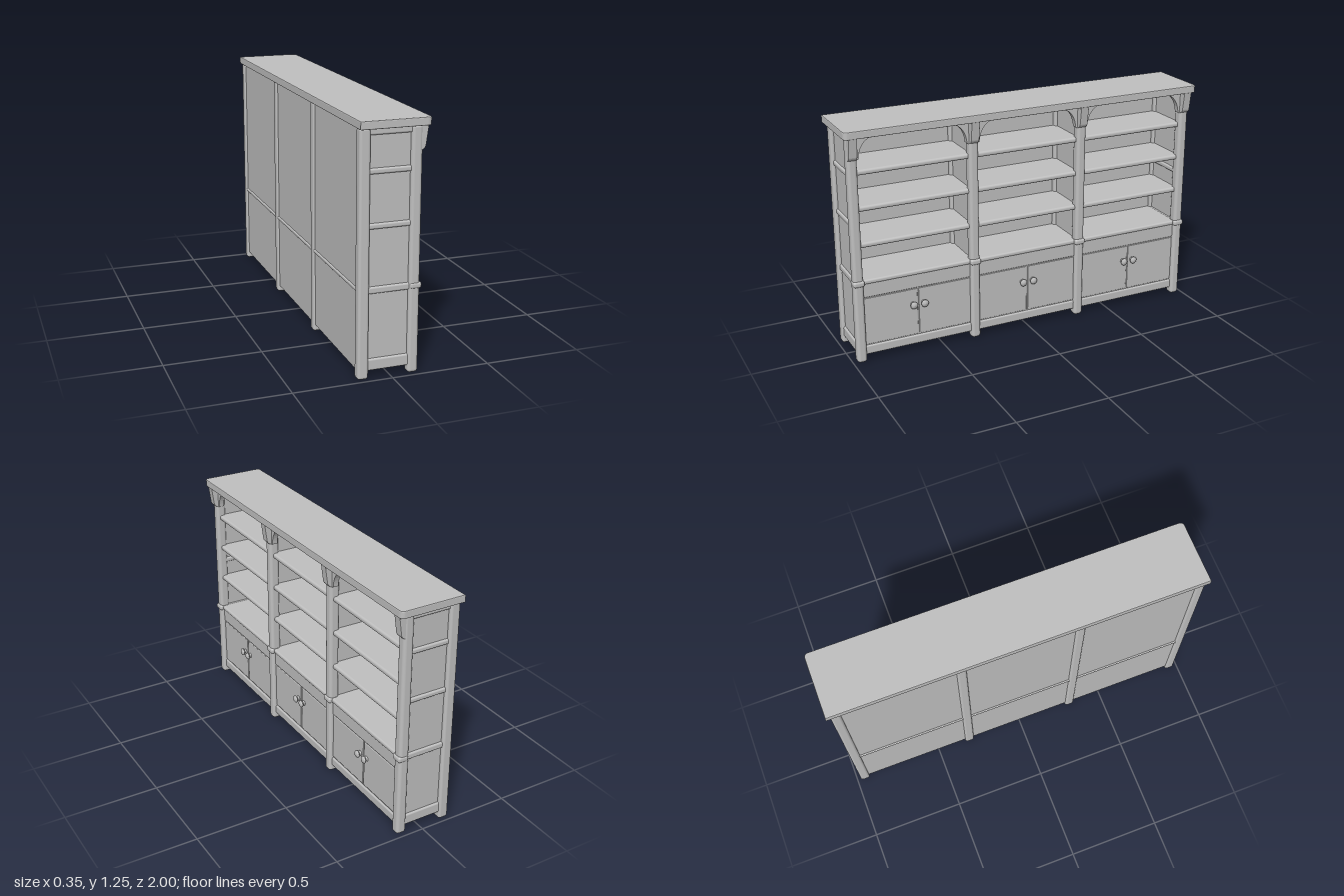
import * as THREE from 'three';
import { RoundedBoxGeometry } from 'three/addons/geometries/RoundedBoxGeometry.js';

export function createModel() {
  const root = new THREE.Group();
  root.name = 'bookcase';
  const wood = new THREE.MeshStandardMaterial({ color: 0xbfbfbf });
  wood.name = 'pale grey';

  const add = (name, geometry) => {
    const mesh = new THREE.Mesh(geometry, wood);
    mesh.name = name;
    root.add(mesh);
    return mesh;
  };
  // Box given by its limits, with optional rounded edges
  const block = (name, x0, x1, y0, y1, z0, z1, r = 0) => {
    const w = x1 - x0, h = y1 - y0, d = z1 - z0;
    const g = r ? new RoundedBoxGeometry(w, h, d, 3, r) : new THREE.BoxGeometry(w, h, d);
    g.translate((x0 + x1) / 2, (y0 + y1) / 2, (z0 + z1) / 2);
    return add(name, g);
  };

  // Cornice board with rounded front corners and a softened lower edge
  const plan = new THREE.Shape();
  plan.moveTo(-0.17, -0.995);
  plan.lineTo(0.15, -0.995);
  plan.quadraticCurveTo(0.17, -0.995, 0.17, -0.975);
  plan.lineTo(0.17, 0.975);
  plan.quadraticCurveTo(0.17, 0.995, 0.15, 0.995);
  plan.lineTo(-0.17, 0.995);
  plan.closePath();
  const top = new THREE.ExtrudeGeometry(plan, {
    depth: 0.03, bevelEnabled: true, bevelThickness: 0.005, bevelSize: 0.005, bevelSegments: 2, curveSegments: 6,
  });
  top.rotateX(-Math.PI / 2);
  top.translate(0, 1.215, 0);
  add('topBoard', top);

  // Posts running down into feet, front and back
  const postZ = [-0.953, -0.312, 0.312, 0.953];
  for (const z of postZ) {
    block('frontPost', 0.085, 0.14, 0, 1.215, z - 0.026, z + 0.026, 0.017);
    block('backPost', -0.17, -0.115, 0, 1.215, z - 0.026, z + 0.026, 0.014);
  }

  // Carcass: back, floor, dividers and recessed end panels
  block('backPanel', -0.16, -0.14, 0.037, 1.213, -0.95, 0.95);
  block('floor', -0.16, 0.122, 0.037, 0.057, -0.95, 0.95);
  for (const z of [-0.312, 0.312]) block('divider', -0.14, 0.1, 0.05, 1.213, z - 0.012, z + 0.012);
  for (const s of [-1, 1]) {
    const z = s * 0.949;
    block('endPanel', -0.15, 0.11, 0.04, 1.213, z - 0.011, z + 0.011);
    for (const [y, h] of [[0.068, 0.06], [0.44, 0.035], [0.75, 0.028], [1.01, 0.028], [1.195, 0.036]]) {
      block('endRail', -0.14, 0.11, y - h / 2, y + h / 2, z - 0.021, z + 0.021, 0.01);
    }
  }
  block('backRail', -0.167, -0.15, 0.432, 0.45, -0.95, 0.95, 0.006);

  // Three bays of shelves above cupboards
  for (const c of [-0.6325, 0, 0.6325]) {
    const z0 = c - 0.322, z1 = c + 0.322;
    for (const y of [0.64, 0.833, 1.022]) {
      block('shelf', -0.145, 0.122, y - 0.014, y + 0.014, z0, z1, 0.012);
    }
    block('cupboardTop', -0.145, 0.13, 0.43, 0.455, z0, z1, 0.01);
    block('cupboardFront', 0.095, 0.115, 0.04, 0.44, z0, z1);
    block('plinthRail', 0.105, 0.125, 0.037, 0.085, z0, z1, 0.008);
    block('upperRail', 0.105, 0.122, 0.355, 0.432, z0, z1, 0.006);
    for (const s of [-1, 1]) {
      block('door', 0.11, 0.119, 0.09, 0.35, c + s * 0.15 - 0.147, c + s * 0.15 + 0.147, 0.004);
      // Turned knob facing forward
      const knob = new THREE.LatheGeometry([
        [0, 0], [0.014, 0], [0.014, 0.004], [0.007, 0.008], [0.008, 0.012],
        [0.019, 0.017], [0.02, 0.023], [0.013, 0.029], [0, 0.031],
      ].map(([x, y]) => new THREE.Vector2(x, y)), 16);
      knob.rotateZ(-Math.PI / 2);
      knob.translate(0.117, 0.265, c + s * 0.03);
      add('knob', knob);
    }
  }

  // Small collar where each front post crosses the cupboard top
  for (const z of postZ) block('postCollar', 0.09, 0.148, 0.427, 0.459, z - 0.03, z + 0.03, 0.012);

  // Curved arch brackets beside each post
  const arch = new THREE.Shape();
  arch.moveTo(0, 0);
  arch.lineTo(0.105, 0);
  arch.lineTo(0.105, -0.012);
  arch.bezierCurveTo(0.06, -0.018, 0.028, -0.055, 0.022, -0.12);
  arch.lineTo(0, -0.13);
  arch.closePath();
  const archGeometry = new THREE.ExtrudeGeometry(arch, { depth: 0.03, bevelEnabled: false, curveSegments: 10 });
  for (const z of postZ) {
    for (const s of [-1, 1]) {
      if (Math.abs(z + s * 0.1) > 0.98) continue;
      const m = add('archBracket', archGeometry);
      // Shape x runs along z; the extrusion runs along x
      m.rotation.y = s > 0 ? -Math.PI / 2 : Math.PI / 2;
      m.position.set(s > 0 ? 0.13 : 0.1, 1.215, z + s * 0.012);
    }
  }

  // Corbels leaning forward from the posts to carry the cornice
  const corbel = new THREE.Shape();
  corbel.moveTo(0.12, 1.215);
  corbel.lineTo(0.166, 1.215);
  corbel.lineTo(0.163, 1.195);
  corbel.lineTo(0.152, 1.115);
  corbel.quadraticCurveTo(0.148, 1.1, 0.132, 1.095);
  corbel.lineTo(0.12, 1.095);
  corbel.closePath();
  for (const z of postZ) {
    const g = new THREE.ExtrudeGeometry(corbel, {
      depth: 0.036, bevelEnabled: true, bevelSize: 0.003, bevelThickness: 0.005, bevelSegments: 2,
    });
    g.translate(0, 0, z - 0.018);
    add('corbel', g);
  }

  return root;
}
